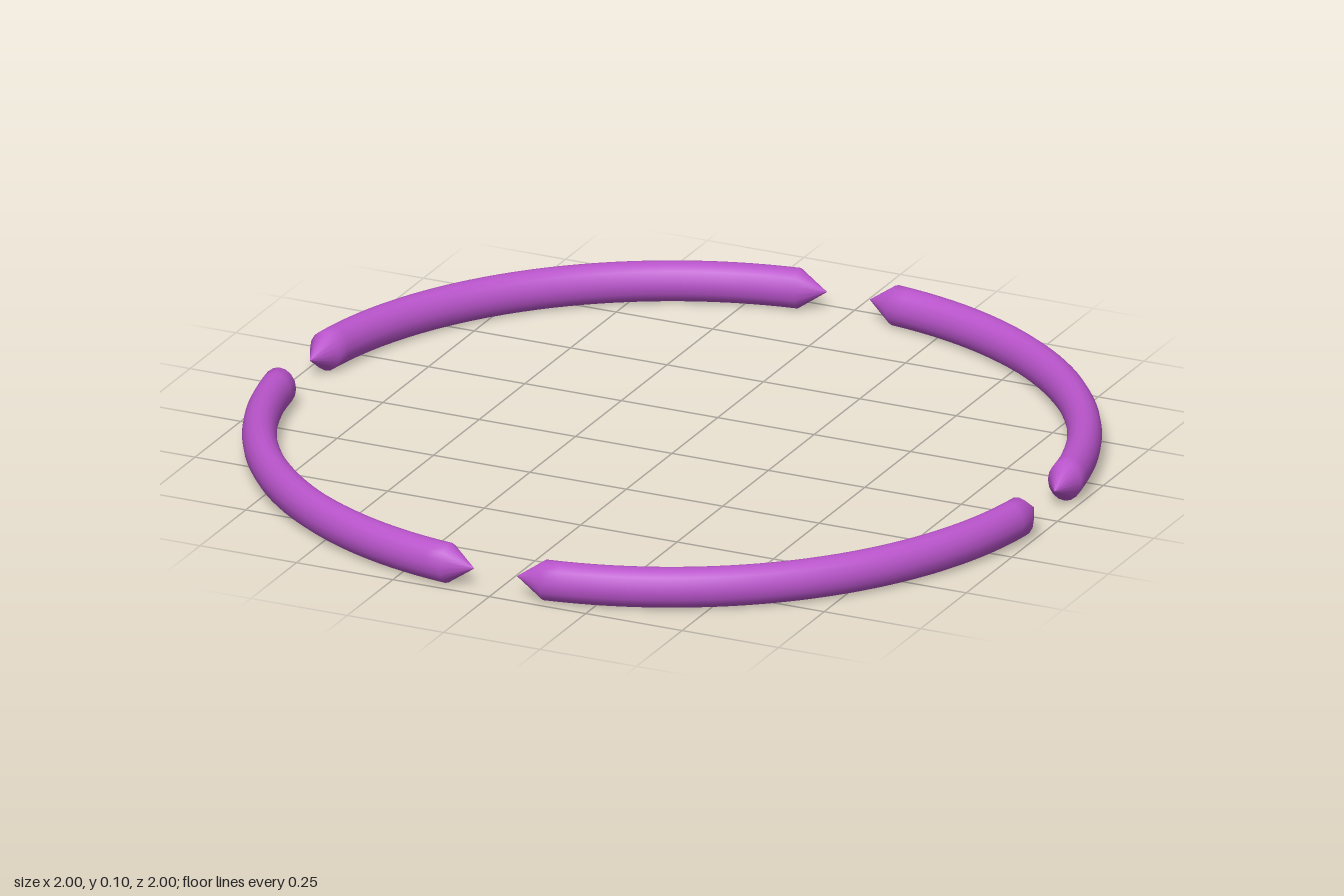
import * as THREE from 'three';

const RADIUS = 0.967;      // ring centre line
const HALF_WIDTH = 0.041;  // radial half size of the section
const HALF_HEIGHT = 0.049; // vertical half size of the section
const TIP = 0.057;         // angle of the pointed end
const BASE = 0.129;        // angle where the point begins
const SIDES = 16;
const STEPS = 32;

// One quarter of the ring: an oval section swept along an arc, pointed at both ends
function arcGeometry() {
  const end = Math.PI / 2;
  const rings = [[TIP, 0]];
  for (let i = 0; i <= STEPS; i++) rings.push([BASE + (end - 2 * BASE) * i / STEPS, 1]);
  rings.push([end - TIP, 0]);

  const positions = [];
  const index = [];
  rings.forEach(([angle, scale], i) => {
    for (let j = 0; j < SIDES; j++) {
      const phi = j / SIDES * Math.PI * 2;
      const r = RADIUS + HALF_WIDTH * scale * Math.cos(phi);
      const y = HALF_HEIGHT * (1 + scale * Math.sin(phi));
      positions.push(r * Math.cos(angle), y, r * Math.sin(angle));
      if (i === rings.length - 1) continue;
      const a = i * SIDES + j;
      const b = i * SIDES + (j + 1) % SIDES;
      if (scale > 0 || i > 0) index.push(a, b, a + SIDES);
      if (rings[i + 1][1] > 0) index.push(b, b + SIDES, a + SIDES);
    }
  });

  const geometry = new THREE.BufferGeometry();
  geometry.setAttribute('position', new THREE.Float32BufferAttribute(positions, 3));
  geometry.setIndex(index);
  geometry.computeVertexNormals();
  return geometry;
}

export function createModel() {
  const model = new THREE.Group();
  model.name = 'segmentedRing';
  const purple = new THREE.MeshStandardMaterial({ color: 0xb954cb });
  purple.name = 'purple';

  // Four equal arcs with gaps on the axes
  const geometry = arcGeometry();
  ['frontLeftArc', 'backLeftArc', 'backRightArc', 'frontRightArc'].forEach((name, i) => {
    const arc = new THREE.Mesh(geometry, purple);
    arc.name = name;
    arc.rotation.y = i * Math.PI / 2;
    model.add(arc);
  });
  return model;
}
